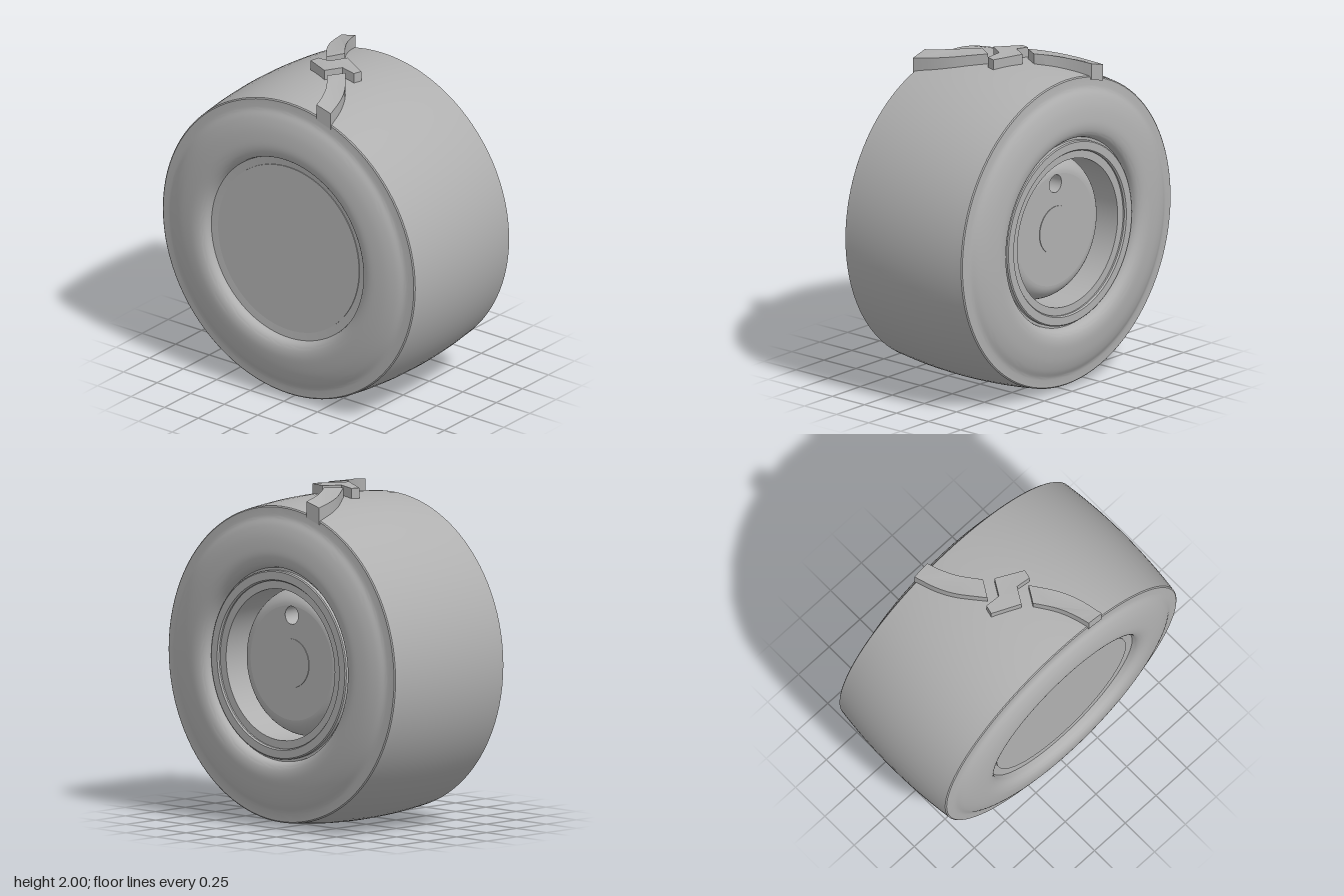
import * as THREE from 'three';
import { toCreasedNormals } from 'three/addons/utils/BufferGeometryUtils.js';

const AXLE_Y = 0.97;
const v2 = (r, x) => new THREE.Vector2(r, x);

export function createModel() {
  const wheel = new THREE.Group();
  wheel.name = 'wheel';
  const grey = new THREE.MeshStandardMaterial({ color: 0xb0b0b0 });
  grey.name = 'grey';

  const add = (geometry, name, parent = wheel) => {
    const mesh = new THREE.Mesh(geometry, grey);
    mesh.name = name;
    parent.add(mesh);
    return mesh;
  };

  // Spins [radius, x] points around the axle; smooth except at sharp edges
  const spin = (points, segments = 96, crease = 0.6) => {
    const geo = new THREE.LatheGeometry(points, segments);
    geo.rotateZ(-Math.PI / 2);
    return toCreasedNormals(geo, crease);
  };

  const tyre = new THREE.Group();
  tyre.name = 'tyre';
  tyre.position.y = AXLE_Y;
  wheel.add(tyre);

  // Crowned running surface
  const crown = [];
  for (let i = -8; i <= 8; i++) {
    const t = i / 8;
    crown.push(v2(0.97 - 0.03 * t * t, 0.45 * t));
  }
  add(spin(crown), 'runningSurface', tyre);

  // Bulging sidewalls with a shoulder lip, tucked in at the bead
  const bulge = new THREE.SplineCurve([
    v2(0.895, 0.458), v2(0.87, 0.464), v2(0.83, 0.486), v2(0.77, 0.506),
    v2(0.7, 0.518), v2(0.65, 0.52), v2(0.61, 0.51), v2(0.585, 0.488), v2(0.575, 0.455),
  ]).getPoints(32);
  const sidewall = [v2(0.94, 0.45), v2(0.933, 0.456), ...bulge];
  const mirrored = (pts) => pts.map((p) => v2(p.x, -p.y)).reverse();
  add(spin(sidewall), 'leftSidewall', tyre);
  add(spin(mirrored([...sidewall, v2(0.525, 0.45)])), 'rightSidewall', tyre);

  const rim = new THREE.Group();
  rim.name = 'rim';
  rim.position.y = AXLE_Y;
  wheel.add(rim);

  // Plain closing disc on the inner side
  add(spin([v2(0, -0.455), v2(0.525, -0.455), v2(0.525, -0.445)]), 'innerDisc', rim);

  // Stepped rim flange and the barrel behind it
  add(spin([
    v2(0.575, 0.455), v2(0.56, 0.455), v2(0.56, 0.478), v2(0.553, 0.484), v2(0.505, 0.484),
    v2(0.498, 0.474), v2(0.498, 0.464), v2(0.45, 0.464), v2(0.45, 0.2),
  ]), 'rimFlange', rim);

  // Domed hub with a flat face
  const dome = [];
  for (let i = 0; i <= 12; i++) {
    const a = (i / 12) * Math.PI / 2;
    dome.push(v2(0.34 + 0.11 * Math.cos(a), 0.2 + 0.17 * Math.sin(a)));
  }
  add(spin(dome), 'hubDome', rim);

  const holeY = 0.284, holeR = 0.054;
  const face = new THREE.Shape().absarc(0, 0, 0.34, 0, Math.PI * 2);
  face.holes.push(new THREE.Path().absarc(0, holeY, holeR, 0, Math.PI * 2, true));
  const faceGeo = new THREE.ShapeGeometry(face, 48);
  faceGeo.rotateY(Math.PI / 2);
  add(faceGeo, 'hubFace', rim).position.x = 0.37;

  // Valve hole and centre cap
  add(spin([v2(holeR, 0.37), v2(holeR, 0.25), v2(0, 0.25)], 32), 'valveHole', rim).position.y = holeY;
  add(spin([v2(0.145, 0.365), v2(0.145, 0.374), v2(0, 0.374)], 64), 'centreCap', rim);

  // Tread lugs: an outline in [x, z], wrapped onto the tyre's curve
  const lug = (outline, name) => {
    const shape = new THREE.Shape(outline.map(([x, z]) => v2(x, -z)));
    const geo = new THREE.ExtrudeGeometry(shape, { depth: 1, bevelEnabled: false });
    geo.rotateX(-Math.PI / 2);
    const p = geo.attributes.position;
    for (let i = 0; i < p.count; i++) {
      const x = p.getX(i), z = p.getZ(i);
      const r = p.getY(i) > 0.5 ? 1.03 - 0.015 * (x / 0.46) ** 2 : 0.92;
      p.setY(i, Math.sqrt(r * r - z * z));
    }
    return add(toCreasedNormals(geo, 0.5), name, tyre);
  };

  // Curved side lug, repeated half a turn round the vertical axis
  const edge = (pts) => new THREE.SplineCurve(pts.map(([x, z]) => v2(x, z)))
    .getPoints(14).map((p) => [p.x, p.y]);
  const sideLug = [
    ...edge([[0.055, -0.115], [0.2, -0.222], [0.32, -0.28], [0.463, -0.32]]),
    ...edge([[0.463, -0.215], [0.37, -0.185], [0.27, -0.137], [0.155, -0.055]]),
  ];
  lug(sideLug, 'leftLug');
  lug(sideLug.map(([x, z]) => [-x, -z]), 'rightLug');

  // Zigzag centre lug
  const half = [[-0.03, -0.165], [0.025, -0.152], [0.015, -0.06], [0.113, -0.002]];
  lug([...half, ...half.map(([x, z]) => [-x, -z])], 'centreLug');

  return wheel;
}
